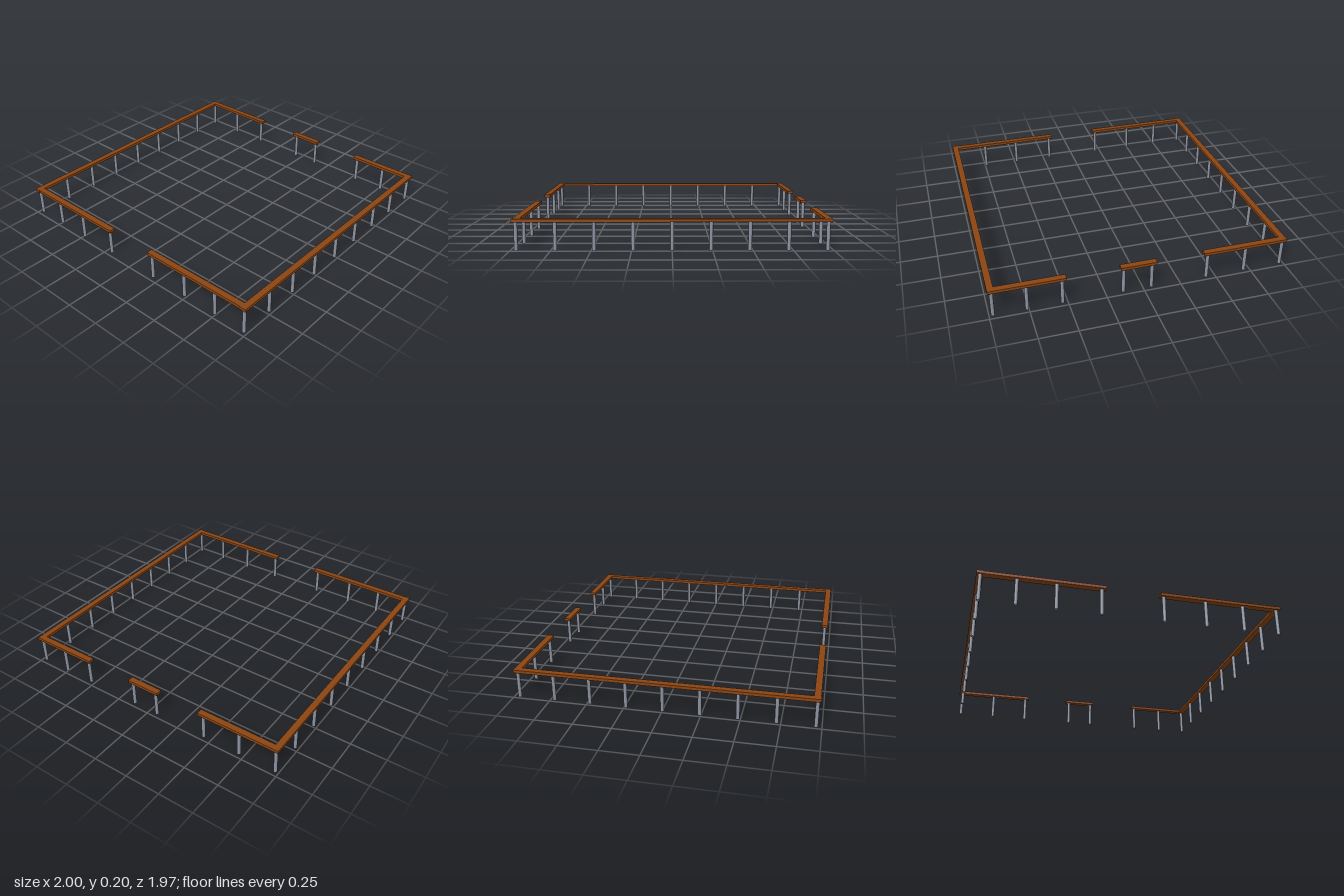
import * as THREE from 'three';

const TOP = 0.2, RAIL_H = 0.02, RAIL_W = 0.043;
const END_Z = 0.964, SIDE_X = 0.978;

export function createModel() {
  const group = new THREE.Group();
  const wood = new THREE.MeshStandardMaterial({ color: 0x8b4513 });
  const metal = new THREE.MeshStandardMaterial({ color: 0x8c92a0 });

  const postH = TOP - RAIL_H;
  const postGeometry = new THREE.CylinderGeometry(0.012, 0.012, postH, 16);

  function addRail(name, x0, x1, z0, z1) {
    const rail = new THREE.Mesh(new THREE.BoxGeometry(x1 - x0, RAIL_H, z1 - z0), wood);
    rail.position.set((x0 + x1) / 2, TOP - RAIL_H / 2, (z0 + z1) / 2);
    rail.name = name;
    group.add(rail);
  }

  function addPost(name, x, z) {
    const post = new THREE.Mesh(postGeometry, metal);
    post.position.set(x, postH / 2, z);
    post.name = name;
    group.add(post);
  }

  // Long side rails with nine evenly spaced posts, including the corners
  const half = RAIL_W / 2;
  for (const [side, s] of [['left', 1], ['right', -1]]) {
    const x = s * SIDE_X;
    addRail(`${side}Rail`, x - half, x + half, -END_Z - half, END_Z + half);
    for (let i = -4; i <= 4; i++) addPost(`${side}Post`, s * 0.975, i * END_Z / 4);
  }

  // Front and back rail sections, split by gateways, and their posts
  const inner = SIDE_X - half;
  const sections = [
    { end: 'front', z: END_Z - 0.003, from: -inner, to: -0.185, posts: [-0.75, -0.5, -0.212] },
    { end: 'front', z: END_Z - 0.003, from: 0.172, to: inner, posts: [0.196, 0.48, 0.738] },
    { end: 'back', z: -END_Z, from: -inner, to: -0.41, posts: [-0.71, -0.44] },
    { end: 'back', z: -END_Z, from: -0.085, to: 0.155, posts: [-0.057, 0.133] },
    { end: 'back', z: -END_Z, from: 0.507, to: inner, posts: [0.533, 0.76] },
  ];
  for (const { end, z, from, to, posts } of sections) {
    addRail(`${end}Rail`, from, to, z - half, z + half);
    for (const x of posts) addPost(`${end}Post`, x, z);
  }

  return group;
}
